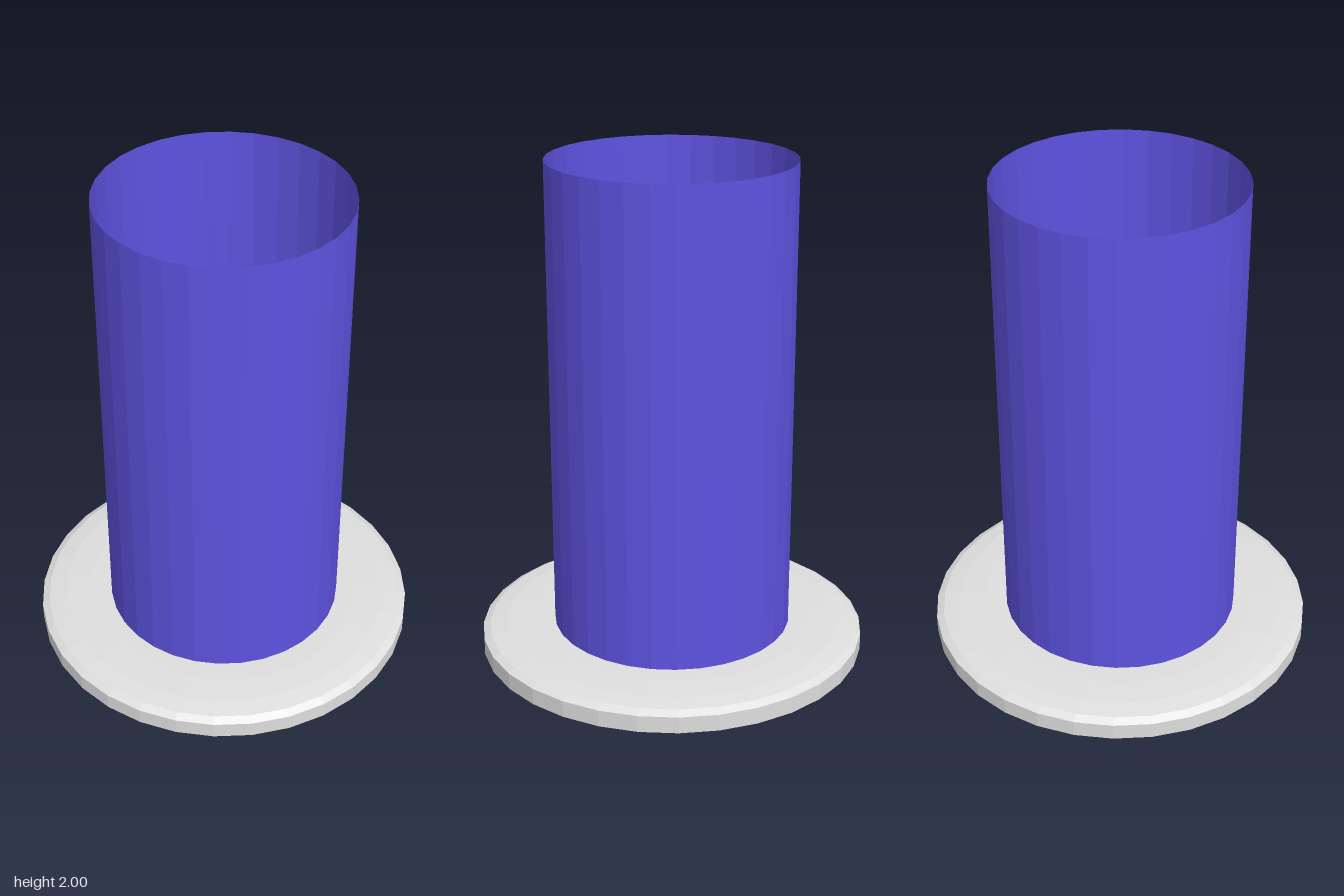
import * as THREE from 'three';
import { RoundedBoxGeometry } from 'three/addons/geometries/RoundedBoxGeometry.js';

const SIDES = 32;

function material(name, color, extra = {}) {
  const m = new THREE.MeshStandardMaterial({ color, ...extra });
  m.name = name;
  return m;
}

function addMesh(parent, name, geometry, mat) {
  const mesh = new THREE.Mesh(geometry, mat);
  mesh.name = name;
  parent.add(mesh);
  return mesh;
}

export function createModel() {
  const model = new THREE.Group();
  model.name = 'tubeWithCubes';

  const grey = material('paleGrey', 0xdedede, { flatShading: true });
  const violet = material('violet', 0x5d53e0, { flatShading: true, side: THREE.DoubleSide });
  const blue = material('softBlue', 0x8093da);

  // Base ring: flat underside, straight rim and a gently domed top
  const profile = [
    [0.445, 0.1], [0.445, 0], [0.78, 0], [0.78, 0.067],
    [0.75, 0.083], [0.68, 0.094], [0.57, 0.1], [0.445, 0.1],
  ].map(([r, y]) => new THREE.Vector2(r, y));
  // Lathe faces outward when the outer wall is traced upwards
  addMesh(model, 'baseRing', new THREE.LatheGeometry(profile, SIDES), grey);

  // Open thin-walled tube
  const tube = addMesh(model, 'tube',
    new THREE.CylinderGeometry(0.483, 0.483, 1.91, SIDES, 1, true), violet);
  tube.position.y = 0.09 + 1.91 / 2;

  // Rounded cubes floating inside the tube: size, position, rotation
  const cubes = [
    [0.175, [-0.238, 1.2, -0.198], [0, 0, -0.3]],
    [0.175, [0.157, 1.0, -0.178], [0.75, 0, 0]],
    [0.225, [-0.17, 1.05, 0.055], [0.25, 0.45, 0]],
    [0.12, [-0.215, 0.8, 0.105], [0.2, 0.3, 0.2]],
    [0.115, [0.1, 0.85, 0.195], [-0.3, 0.75, 0]],
    [0.115, [0.288, 1.25, 0.018], [0.2, 0.22, 0]],
  ];
  const group = new THREE.Group();
  group.name = 'floatingCubes';
  cubes.forEach(([size, position, [rx, ry, rz]], i) => {
    const cube = addMesh(group, `cube${i + 1}`,
      new RoundedBoxGeometry(size, size, size, 3, size * 0.17), blue);
    cube.position.set(...position);
    cube.rotation.set(rx, ry, rz, 'YXZ');
  });
  model.add(group);

  return model;
}
